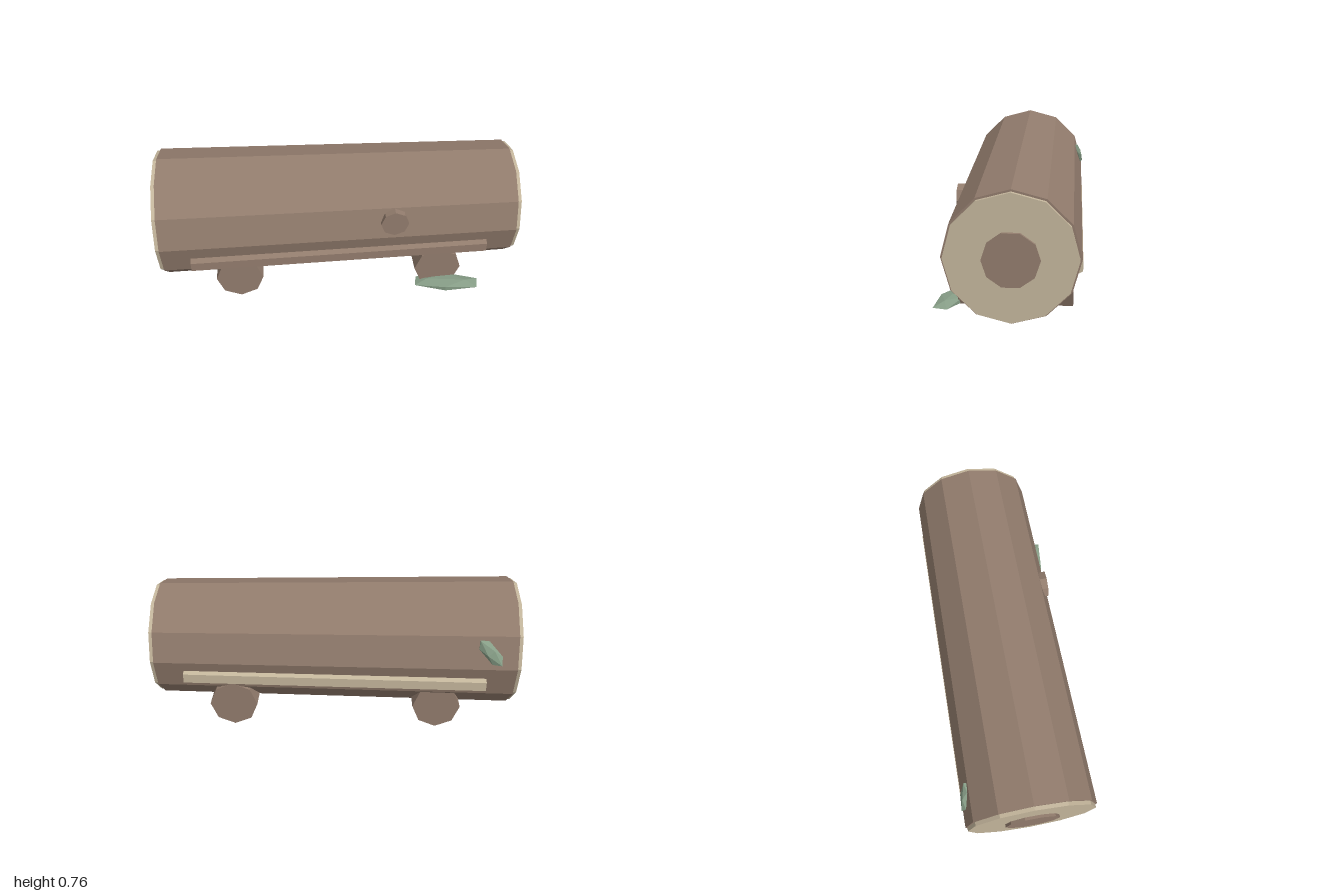
import * as THREE from 'three';

const mat = (name, color) => {
  const m = new THREE.MeshStandardMaterial({ color, flatShading: true });
  m.name = name;
  return m;
};

export function createModel() {
  const group = new THREE.Group();
  const bark = mat('bark', 0x927c6d);
  const wood = mat('cutWood', 0xc4b69c);
  const green = mat('leafGreen', 0x889f88);
  const CY = 0.405, CZ = -0.025; // log axis

  const add = (name, geo, material, x, y, z) => {
    const m = new THREE.Mesh(geo, material);
    m.name = name;
    m.position.set(x, y, z);
    group.add(m);
    return m;
  };
  // Cylinder along x; radii at the +x and -x ends
  const alongX = (rPlus, rMinus, len, sides, start = 0) =>
    new THREE.CylinderGeometry(rPlus, rMinus, len, sides, 1, false, start).rotateZ(-Math.PI / 2);
  // Cylinder along z, with a corner pointing down
  const alongZ = (r, len, sides) =>
    new THREE.CylinderGeometry(r, r, len, sides).rotateX(Math.PI / 2);

  // Tapered trunk
  add('log', alongX(0.32, 0.352, 1.93, 12), bark, 0, CY, CZ);

  // Cut ends with a dark heart
  for (const [side, rCap, rHeart] of [[1, 0.31, 0.134], [-1, 0.342, 0.145]]) {
    const end = side > 0 ? 'Right' : 'Left';
    add('cutEnd' + end, alongX(rCap, rCap, 0.04, 12), wood, side * 0.965, CY, CZ);
    add('heartwood' + end, alongX(rHeart, rHeart, 0.04, 10), bark, side * 0.98, CY, CZ);
  }

  // Two cross logs underneath
  for (const x of [-0.56, 0.555]) {
    add('crossSupport', alongZ(0.13, 0.576, 8), bark, x, 0.13, CZ);
  }

  // Long six-sided strips following the taper on both flanks
  const strip = (name, material, y, side) => {
    const m = add(name, alongX(0.05, 0.05, 1.62, 6, Math.PI / 6), material, 0, y, CZ + side * 0.298);
    m.rotation.set(0, side * 0.0167, 0.007);
  };
  strip('frontStrip', bark, 0.291, 1);
  strip('backStrip', wood, 0.308, -1);

  // Branch stub on the front
  add('knot', alongZ(0.075, 0.1, 8), bark, 0.292, 0.493, 0.253);

  // Faceted leaves
  const leaf = (name, sx, sy, sz, x, y, z) =>
    add(name, new THREE.IcosahedronGeometry(1, 0).scale(sx, sy, sz), green, x, y, z);
  leaf('groundLeaf', 0.205, 0.024, 0.07, 0.605, 0.048, 0.3).rotation.set(0, -0.22, 0.09);
  const back = leaf('barkLeaf', 0.105, 0.04, 0.022, -0.82, 0.495, -0.353);
  back.rotation.set(0.26, 0, 0.85);

  return group;
}
